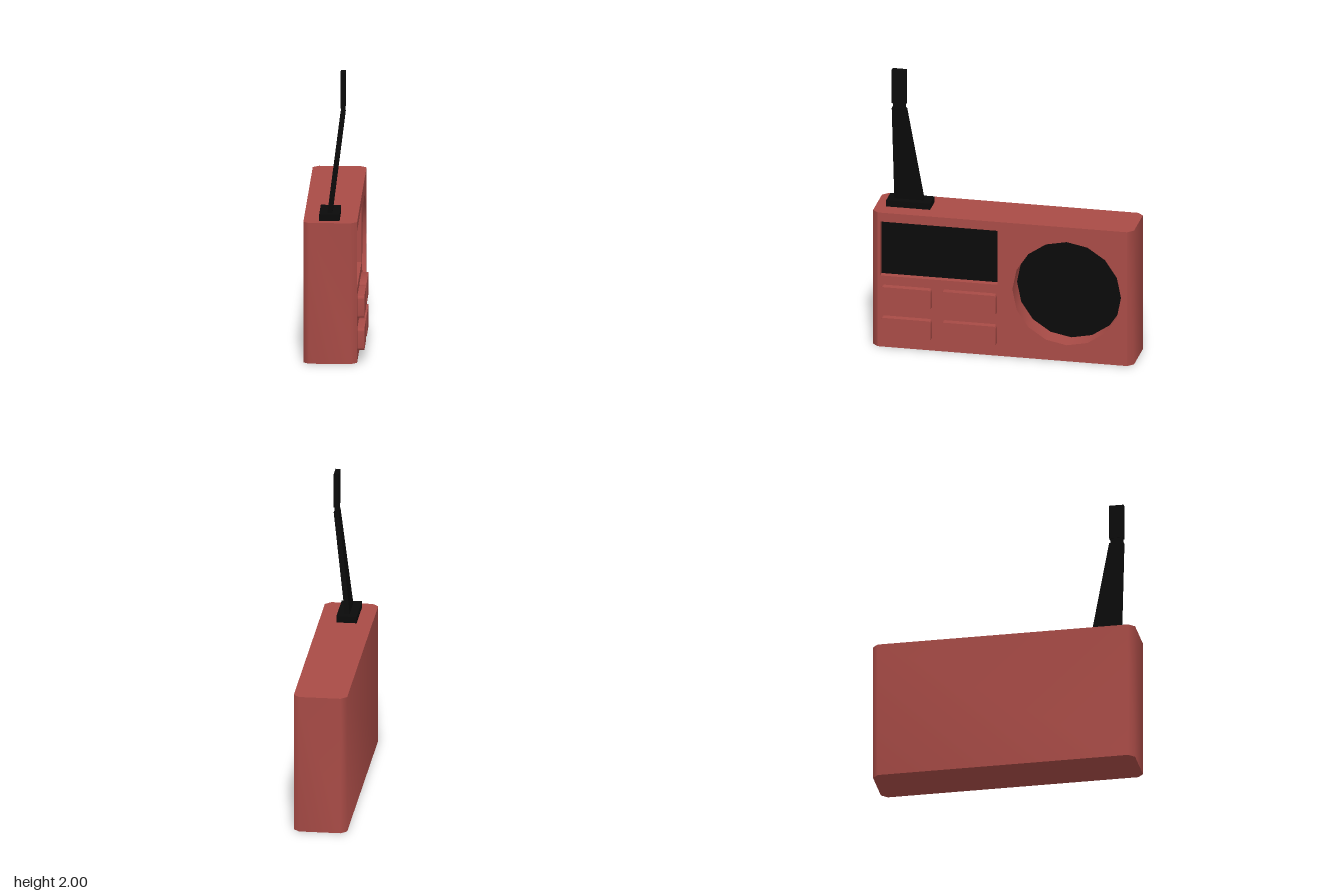
import * as THREE from 'three';
import { toCreasedNormals } from 'three/addons/utils/BufferGeometryUtils.js';

const red = new THREE.MeshStandardMaterial({ color: 0xa84b46 });
const black = new THREE.MeshStandardMaterial({ color: 0x0a0a0a });

const HALF_W = 0.908, HEIGHT = 0.98, HALF_D = 0.183, CHAMFER = 0.04;
const FLOOR = 0.02; // depth plane behind the front plate

function polygon(points, Type = THREE.Shape) {
  return new Type(points.map(([x, y]) => new THREE.Vector2(x, y)));
}

function rect(x0, y0, x1, y1, Type) {
  return polygon([[x0, y0], [x1, y0], [x1, y1], [x0, y1]], Type);
}

// Rounded rectangle centred on the origin
function roundedRect(w, h, r) {
  const s = new THREE.Shape();
  const x = w / 2 - r, y = h / 2 - r;
  s.absarc(x, y, r, 0, Math.PI / 2);
  s.absarc(-x, y, r, Math.PI / 2, Math.PI);
  s.absarc(-x, -y, r, Math.PI, Math.PI * 1.5);
  s.absarc(x, -y, r, Math.PI * 1.5, Math.PI * 2);
  return s;
}

// Four-sided bar whose bottom and top rectangles [x, z, width, depth] differ
function taperedBar(y0, y1, bottom, top) {
  const geo = new THREE.BoxGeometry(1, 1, 1);
  const p = geo.attributes.position;
  for (let i = 0; i < p.count; i++) {
    const upper = p.getY(i) > 0;
    const [x, z, w, d] = upper ? top : bottom;
    p.setXYZ(i, x + p.getX(i) * w, upper ? y1 : y0, z + p.getZ(i) * d);
  }
  geo.computeVertexNormals();
  return geo;
}

export function createModel() {
  const model = new THREE.Group();
  const radio = new THREE.Group();
  radio.name = 'radio';
  radio.rotation.y = 0.889; // stands turned on its base
  model.add(radio);

  const add = (name, geo, mat, x = 0, y = 0, z = 0) => {
    const mesh = new THREE.Mesh(geo, mat);
    mesh.name = name;
    mesh.position.set(x, y, z);
    radio.add(mesh);
    return mesh;
  };

  // Case: plan outline with chamfered upright edges and a channel for the front plate
  const inX = HALF_W - CHAMFER, inZ = HALF_D - CHAMFER;
  const plan = polygon([
    [-inX, HALF_D], [inX, HALF_D], [HALF_W, inZ], [HALF_W, -inZ], [inX, -HALF_D],
    [inX, -FLOOR], [-inX, -FLOOR], [-inX, -HALF_D], [-HALF_W, -inZ], [-HALF_W, inZ],
  ]);
  const shell = new THREE.ExtrudeGeometry(plan, { depth: HEIGHT, bevelEnabled: false });
  shell.rotateX(-Math.PI / 2);
  add('case', toCreasedNormals(shell, 0.9), red);

  // Front plate with openings for the screen and the speaker
  const speaker = { x: 0.448, y: 0.495, r: 0.378, sides: 16 };
  const screen = { x0: -0.85, x1: -0.035, y0: 0.52, y1: 0.915 };
  const plate = rect(-inX, 0, inX, HEIGHT);
  plate.holes.push(rect(screen.x0, screen.y0, screen.x1, screen.y1, THREE.Path));
  const ring = [];
  for (let i = 0; i < speaker.sides; i++) {
    const a = (i / speaker.sides) * Math.PI * 2;
    ring.push([speaker.x + speaker.r * Math.cos(a), speaker.y + speaker.r * Math.sin(a)]);
  }
  plate.holes.push(polygon(ring, THREE.Path));
  const plateGeo = new THREE.ExtrudeGeometry(plate, { depth: HALF_D - FLOOR, bevelEnabled: false });
  add('frontPlate', toCreasedNormals(plateGeo, 0.6), red, 0, 0, FLOOR);

  // Sunken speaker and screen
  add('speaker', new THREE.CircleGeometry(speaker.r, speaker.sides), black,
    speaker.x, speaker.y, FLOOR + 0.013);
  add('screen', new THREE.BoxGeometry(screen.x1 - screen.x0, screen.y1 - screen.y0, 0.117), black,
    (screen.x0 + screen.x1) / 2, (screen.y0 + screen.y1) / 2, FLOOR + 0.0585);

  // Two rows of two push buttons
  for (const y of [0.38, 0.155]) {
    for (const [x0, x1] of [[-0.838, -0.49], [-0.415, -0.038]]) {
      const geo = new THREE.ExtrudeGeometry(roundedRect(x1 - x0, 0.15, 0.018),
        { depth: 0.055, bevelEnabled: false, curveSegments: 3 });
      add('button', toCreasedNormals(geo, 0.7), red, (x0 + x1) / 2, y, 0.176);
    }
  }

  // Aerial: foot, leaning tapered shaft, narrow neck and tip
  const tip = [-0.738, 0.083, 0.1, 0.034];
  const neck = [-0.738, 0.083, 0.085, 0.028];
  add('aerialFoot', new THREE.BoxGeometry(0.306, 0.05, 0.139), black, -0.682, 1.0, -0.007);
  add('aerialShaft', taperedBar(1.02, 1.72, [-0.687, -0.006, 0.204, 0.034], tip), black);
  add('aerialNeck', taperedBar(1.71, 1.77, neck, neck), black);
  add('aerialTip', taperedBar(1.755, 2, tip, tip), black);

  return model;
}
